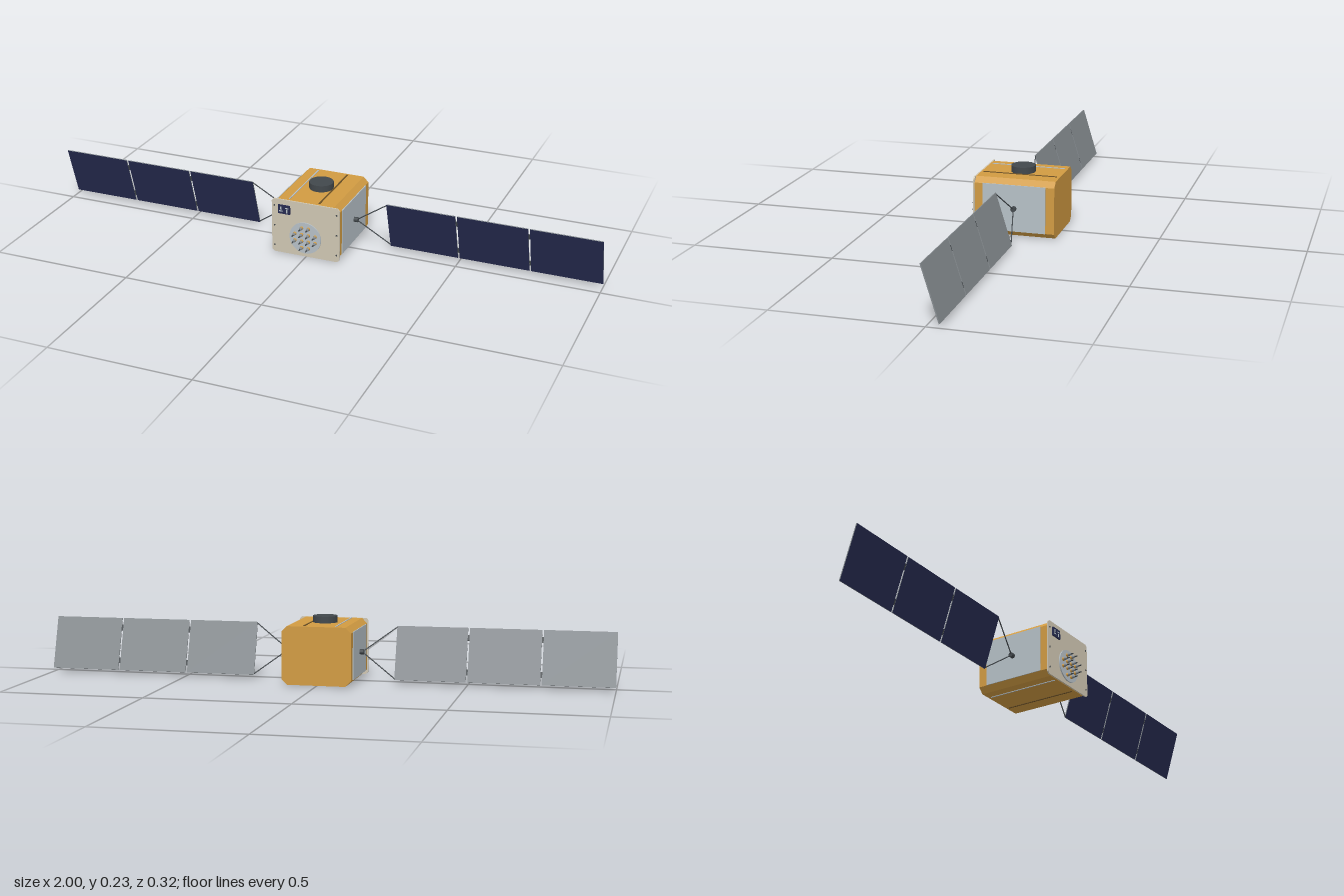
import * as THREE from 'three';

const mat = (name, color, extra = {}) =>
  Object.assign(new THREE.MeshStandardMaterial({ color, ...extra }), { name });

export function createModel() {
  const root = new THREE.Group();
  root.name = 'satellite';
  const gold = mat('gold foil', 0xd19b42);
  const seamGold = mat('dark foil seam', 0x6e5226);
  const cream = mat('cream plate', 0xcfc6b2);
  const silver = mat('silver radiator', 0xb6c0c6);
  const navy = mat('navy cells', 0x262b50);
  const grey = mat('grey backing', 0x868c90);
  const dark = mat('dark metal', 0x42484c);

  const add = (parent, name, geo, material, x = 0, y = 0, z = 0) => {
    const m = new THREE.Mesh(geo, material);
    m.name = name;
    m.position.set(x, y, z);
    parent.add(m);
    return m;
  };
  const box = (w, h, d) => new THREE.BoxGeometry(w, h, d);
  // cylinder lying along z, r1 at the front end
  const zCyl = (r1, r2, len, n = 12) => new THREE.CylinderGeometry(r1, r2, len, n).rotateX(Math.PI / 2);
  // rod between two points
  const rod = (parent, name, a, b, r, material) => {
    const dir = b.clone().sub(a);
    const m = add(parent, name, new THREE.CylinderGeometry(r, r, dir.length(), 8), material);
    m.position.copy(a).add(b).multiplyScalar(0.5);
    m.quaternion.setFromUnitVectors(new THREE.Vector3(0, 1, 0), dir.normalize());
  };
  // rectangle with cut corners, extruded along z
  const cutBox = (hw, y0, y1, c, z0, z1) => {
    const s = new THREE.Shape([
      [hw - c, y0], [hw, y0 + c], [hw, y1 - c], [hw - c, y1],
      [-hw + c, y1], [-hw, y1 - c], [-hw, y0 + c], [-hw + c, y0],
    ].map(([x, y]) => new THREE.Vector2(x, y)));
    return new THREE.ExtrudeGeometry(s, { depth: z1 - z0, bevelEnabled: false }).translate(0, 0, z0);
  };

  // Bus body and front plate
  const bus = new THREE.Group();
  bus.name = 'bus';
  root.add(bus);
  add(bus, 'body', cutBox(0.121, 0.003, 0.205, 0.019, -0.157, 0.125), gold);
  add(bus, 'frontPlate', cutBox(0.125, 0.004, 0.205, 0.008, 0.125, 0.13), cream);

  // Foil seams on the roof and the floor
  for (const y of [0.2055, 0.0025]) {
    add(bus, 'lightSeam', box(0.004, 0.003, 0.262), silver, -0.065, y, -0.015);
    add(bus, 'darkSeam', box(0.005, 0.003, 0.262), seamGold, 0.045, y, -0.015);
  }

  // Turret on the roof
  add(bus, 'turret', new THREE.CylinderGeometry(0.043, 0.043, 0.024, 16), dark, 0, 0.216, -0.015);

  // Badge panel with a light frame and cross bars
  const badge = new THREE.Group();
  badge.name = 'sensorPanel';
  badge.position.set(-0.078, 0.17, 0.13);
  bus.add(badge);
  add(badge, 'sensorBase', box(0.044, 0.032, 0.006), navy, 0, 0, 0.002);
  for (const sx of [-1, 1]) {
    add(badge, 'sensorBar', box(0.012, 0.004, 0.001), silver, sx * 0.011, sx * 0.006, 0.0055);
    add(badge, 'sensorBar', box(0.004, 0.012, 0.001), silver, sx * 0.011, -sx * 0.005, 0.0055);
  }

  // Bolts along the plate edges
  for (const sx of [-1, 1])
    for (const y of [0.03, 0.105, 0.18])
      add(bus, 'bolt', zCyl(0.003, 0.003, 0.002, 8), dark, sx * 0.115, y, 0.131);

  // Antenna dish with a rounded grid of twelve horns
  const antenna = new THREE.Group();
  antenna.name = 'antennaArray';
  antenna.position.set(0, 0.075, 0.13);
  bus.add(antenna);
  add(antenna, 'antennaDisc', zCyl(0.058, 0.058, 0.005, 32), silver, 0, 0, 0.0015);
  for (let i = 0; i < 4; i++) {
    for (let j = 0; j < 4; j++) {
      if (i % 3 === 0 && j % 3 === 0) continue;
      const x = (i - 1.5) * 0.025, y = (j - 1.5) * 0.025;
      add(antenna, 'hornBase', zCyl(0.005, 0.0065, 0.007), gold, x, y, 0.007);
      add(antenna, 'hornCone', zCyl(0.003, 0.0055, 0.011), grey, x, y, 0.0155);
      add(antenna, 'hornTip', zCyl(0.002, 0.0025, 0.009), dark, x, y, 0.0255);
    }
  }

  // Side radiators and solar wings
  const tilt = 0.298, len = 0.189, w = 0.246, gap = 0.006;
  const cellMats = [grey, grey, grey, grey, navy, grey];
  for (const s of [1, -1]) {
    add(bus, 'sideRadiator', box(0.004, 0.165, 0.223), silver, s * 0.1215, 0.1045, -0.0145);

    const wing = new THREE.Group();
    wing.name = s > 0 ? 'leftWing' : 'rightWing';
    wing.position.set(0, 0.1045, -0.0155);
    wing.rotation.x = tilt;
    root.add(wing);
    add(wing, 'hub', new THREE.CylinderGeometry(0.009, 0.009, 0.016, 12).rotateZ(Math.PI / 2), dark, s * 0.13, 0, 0);
    for (let i = 0; i < 3; i++) {
      const x = 0.25 + w / 2 + i * (w + gap);
      add(wing, 'solarPanel', box(w, len, 0.004), cellMats, s * x, 0, 0);
      // hinges to the next panel
      if (i < 2)
        for (const y of [-0.06, 0.06])
          add(wing, 'hinge', box(gap, 0.02, 0.003), dark, s * (x + w / 2 + gap / 2), y, 0);
    }
    for (const sy of [-1, 1])
      rod(wing, 'strut', new THREE.Vector3(s * 0.132, 0, 0),
        new THREE.Vector3(s * 0.252, sy * (len / 2 - 0.003), 0), 0.002, dark);
  }
  return root;
}
